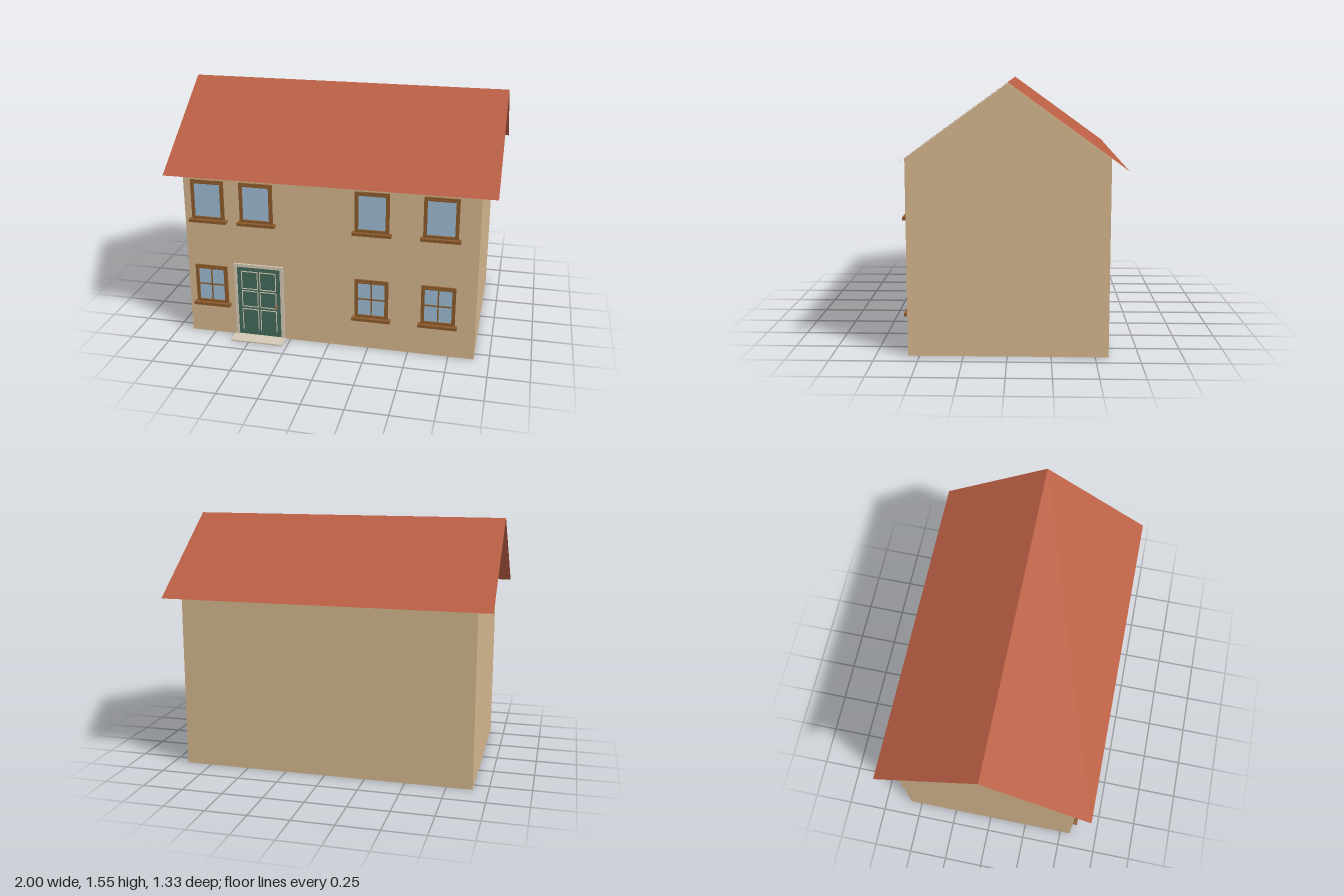
import * as THREE from 'three';

const mat = (name, color, side = THREE.FrontSide) => {
  const m = new THREE.MeshStandardMaterial({ color, side });
  m.name = name;
  return m;
};

export function createModel() {
  const wall = mat('tan wall', 0xd2b48c);
  const tile = mat('terracotta roof', 0xb95e43, THREE.DoubleSide);
  const wood = mat('brown wood', 0x8b5a2b);
  const glass = mat('blue glass', 0x9cbad2);
  const green = mat('green door', 0x426b59);
  const stone = mat('pale stone', 0xd3c8b4);
  const floorMat = mat('floor boards', 0xb08d66);

  const house = new THREE.Group();
  house.name = 'house';
  const zc = -0.006, front = 0.566, back = -0.576, halfX = 0.907;

  const add = (parent, name, geo, material) => {
    const mesh = new THREE.Mesh(geo, material);
    mesh.name = name;
    parent.add(mesh);
    return mesh;
  };
  // Box given by its limits on each axis
  const box = (parent, name, material, x0, x1, y0, y1, z0, z1) => {
    const mesh = add(parent, name, new THREE.BoxGeometry(x1 - x0, y1 - y0, z1 - z0), material);
    mesh.position.set((x0 + x1) / 2, (y0 + y1) / 2, (z0 + z1) / 2);
    return mesh;
  };
  // Rectangular ring facing +z, open in the middle
  const ring = (parent, name, material, x0, x1, y0, y1, w, z0, z1) => {
    const s = new THREE.Shape([[x0, y0], [x1, y0], [x1, y1], [x0, y1]].map(p => new THREE.Vector2(...p)));
    s.holes.push(new THREE.Path([[x0 + w, y0 + w], [x0 + w, y1 - w], [x1 - w, y1 - w], [x1 - w, y0 + w]]
      .map(p => new THREE.Vector2(...p))));
    add(parent, name, new THREE.ExtrudeGeometry(s, { depth: z1 - z0, bevelEnabled: false }), material)
      .position.z = z0;
  };

  // Gabled body, extruded along x
  const gable = new THREE.Shape([[-front, 0.01], [-back, 0.01], [-back, 1.132], [-zc, 1.545], [-front, 1.132]]
    .map(p => new THREE.Vector2(...p)));
  const body = add(house, 'walls',
    new THREE.ExtrudeGeometry(gable, { depth: 2 * halfX, bevelEnabled: false }), wall);
  body.rotation.y = Math.PI / 2;
  body.position.x = -halfX;

  // Wall footings, partition footings and the floor between them
  const t = 0.05;
  box(house, 'backFooting', wall, -halfX, halfX, 0, 0.01, back, back + t);
  for (const s of [-1, 1]) {
    const e = s * (halfX - t / 2);
    box(house, 'sideFooting', wall, e - t / 2, e + t / 2, 0, 0.01, back + t, front - t);
  }
  box(house, 'frontFooting', wall, -halfX, -0.585, 0, 0.01, front - t, front);
  box(house, 'frontFooting', wall, -0.307, halfX, 0, 0.01, front - t, front);
  box(house, 'partitionFooting', wall, -0.025, 0.025, 0.001, 0.01, back + t, -0.06);
  box(house, 'partitionFooting', wall, -0.025, 0.025, 0.001, 0.01, front - t - 0.04, front - t);
  box(house, 'floor', floorMat, -halfX + t, halfX - t, 0.004, 0.01, back + t, front - t);
  box(house, 'threshold', floorMat, -0.585, -0.307, 0.004, 0.01, front - t, front);

  // Thin roof sheets: ridge to eave, front and back
  for (const s of [1, -1]) {
    const rise = 0.475, run = 0.657;
    const slope = add(house, s > 0 ? 'frontRoof' : 'backRoof',
      new THREE.PlaneGeometry(2, Math.hypot(rise, run)), tile);
    slope.rotation.set(-s * Math.atan2(run, rise), 0, 0);
    slope.position.set(0, 1.55 - rise / 2, zc + s * run / 2);
  }

  // Windows: stepped frame, pane and sill; the lower ones have glazing bars
  const makeWindow = (cx, y, bars) => {
    const w = new THREE.Group();
    w.name = bars ? 'lowerWindow' : 'upperWindow';
    w.position.set(cx, y, front);
    house.add(w);
    ring(w, 'outerFrame', wood, -0.104, 0.104, 0, 0.252, 0.014, 0, 0.012);
    ring(w, 'innerFrame', wood, -0.092, 0.092, 0.008, 0.24, 0.009, 0, 0.017);
    box(w, 'pane', glass, -0.084, 0.084, 0.015, 0.233, 0, 0.006);
    box(w, 'sill', wood, -0.119, 0.119, -0.018, 0, 0, 0.035);
    if (bars) {
      box(w, 'uprightBar', wood, -0.004, 0.004, 0.016, 0.232, 0.004, 0.011);
      box(w, 'crossBar', wood, -0.084, 0.084, 0.12, 0.128, 0.004, 0.011);
    }
  };
  for (const x of [-0.754, -0.446, 0.27, 0.679]) makeWindow(x, 0.783, false);
  for (const x of [-0.754, 0.27, 0.679]) makeWindow(x, 0.217, true);

  // Door with stone surround, panel mouldings, knob and doorstep
  const door = new THREE.Group();
  door.name = 'door';
  house.add(door);
  box(door, 'leaf', green, -0.585, -0.307, 0.01, 0.48, front, front + 0.007);
  for (const [x0, x1] of [[-0.604, -0.585], [-0.307, -0.286]])
    box(door, 'jamb', stone, x0, x1, 0, 0.5, front, front + 0.012);
  box(door, 'lintel', stone, -0.585, -0.307, 0.48, 0.5, front, front + 0.012);
  const z0 = front + 0.005, z1 = front + 0.011, m = 0.005;
  for (const [x0, x1] of [[-0.559, -0.452], [-0.441, -0.334]]) {
    ring(door, 'topPanel', stone, x0, x1, 0.329, 0.452, m, z0, z1);
    ring(door, 'middlePanel', stone, x0, x1, 0.206, 0.318, m, z0, z1);
    box(door, 'bottomPanelHead', stone, x0, x1, 0.187, 0.192, z0, z1);
    for (const x of [x0, x1 - m]) box(door, 'bottomPanelSide', stone, x, x + m, 0.045, 0.187, z0, z1);
  }
  const stem = add(door, 'knobStem', new THREE.CylinderGeometry(0.004, 0.004, 0.026, 10), wood);
  stem.rotation.x = Math.PI / 2;
  stem.position.set(-0.328, 0.23, front + 0.016);
  add(door, 'knob', new THREE.SphereGeometry(0.01, 14, 10), wood).position.set(-0.328, 0.23, front + 0.026);
  box(house, 'doorstep', stone, -0.615, -0.28, 0, 0.009, front, 0.665);

  return house;
}
